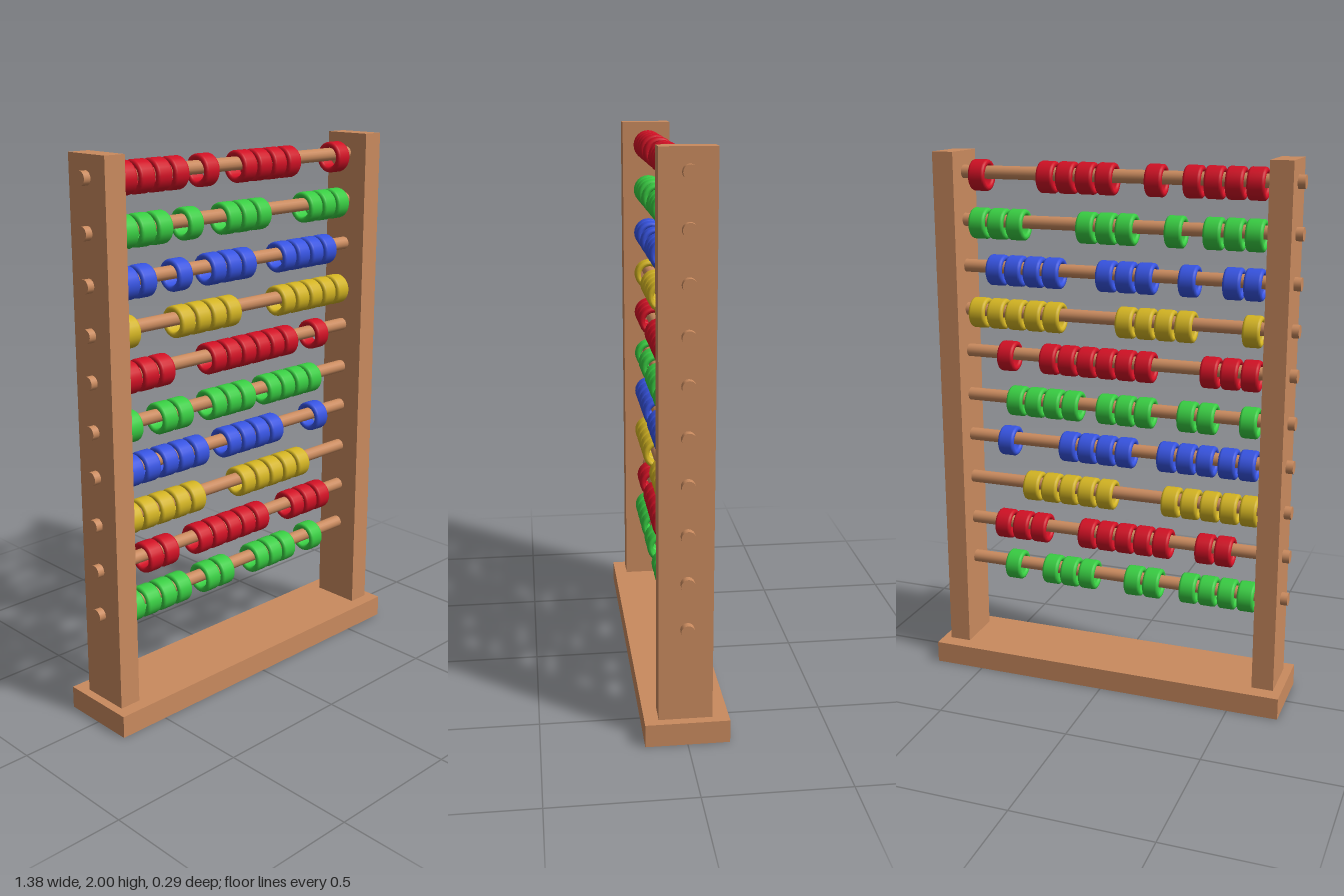
import * as THREE from 'three';

const PITCH = 0.0743; // spacing of touching beads
const RED = 0xd01024, GREEN = 0x38cc42, BLUE = 0x3653e0, YELLOW = 0xd2b322;

// each row: rod height, bead colour, runs of beads [first x, count]
const ROWS = [
  [1.925, RED, [[-0.523, 4], [-0.162, 1], [0.019, 4], [0.507, 1]]],
  [1.751, GREEN, [[-0.523, 3], [-0.236, 1], [-0.056, 3], [0.363, 3]]],
  [1.581, BLUE, [[-0.523, 2], [-0.289, 1], [-0.13, 3], [0.225, 4]]],
  [1.417, YELLOW, [[-0.523, 1], [-0.279, 4], [0.225, 5]]],
  [1.258, RED, [[-0.523, 3], [-0.13, 6], [0.411, 1]]],
  [1.086, GREEN, [[-0.523, 1], [-0.366, 2], [-0.13, 3], [0.154, 4]]],
  [0.925, BLUE, [[-0.523, 2], [-0.366, 3], [-0.056, 4], [0.416, 1]]],
  [0.752, YELLOW, [[-0.533, 5], [0.019, 5]]],
  [0.583, RED, [[-0.443, 2], [-0.204, 5], [0.289, 3]]],
  [0.416, GREEN, [[-0.533, 4], [-0.167, 2], [0.093, 3], [0.398, 1]]],
];

// ring with a rounded cross-section, its axis along x
function beadGeometry(inner, outer, width, round) {
  const points = [];
  const h = width / 2 - round;
  const corners = [[outer - round, -h, -90], [outer - round, h, 0], [inner + round, h, 90], [inner + round, -h, 180]];
  for (const [r, y, start] of corners) {
    for (let i = 0; i <= 4; i++) {
      const a = THREE.MathUtils.degToRad(start + i * 22.5);
      points.push(new THREE.Vector2(r + round * Math.cos(a), y + round * Math.sin(a)));
    }
  }
  points.push(points[0].clone());
  return new THREE.LatheGeometry(points, 24).rotateZ(Math.PI / 2);
}

export function createModel() {
  const model = new THREE.Group();
  model.name = 'abacus';
  const wood = new THREE.MeshStandardMaterial({ color: 0xc98a5e });
  const paint = {};
  for (const c of [RED, GREEN, BLUE, YELLOW]) paint[c] = new THREE.MeshStandardMaterial({ color: c });

  const add = (parent, name, geometry, material, x, y, z) => {
    const mesh = new THREE.Mesh(geometry, material);
    mesh.name = name;
    mesh.position.set(x, y, z);
    parent.add(mesh);
  };

  // frame
  add(model, 'base', new THREE.BoxGeometry(1.382, 0.082, 0.292), wood, 0, 0.041, 0);
  const post = new THREE.BoxGeometry(0.081, 1.92, 0.185);
  add(model, 'leftPost', post, wood, 0.619, 1.04, 0.004);
  add(model, 'rightPost', post, wood, -0.619, 1.04, 0.004);

  // rods and beads; the beads hang a little below the rod's axis
  const rod = new THREE.CylinderGeometry(0.024, 0.024, 1.37, 20).rotateZ(Math.PI / 2);
  const bead = beadGeometry(0.035, 0.057, 0.064, 0.0105);
  for (const [y, color, runs] of ROWS) {
    const row = new THREE.Group();
    row.name = 'beadRow';
    add(row, 'rod', rod, wood, 0, y, 0);
    for (const [start, count] of runs) {
      for (let i = 0; i < count; i++) add(row, 'bead', bead, paint[color], start + i * PITCH, y - 0.011, 0);
    }
    model.add(row);
  }
  return model;
}
